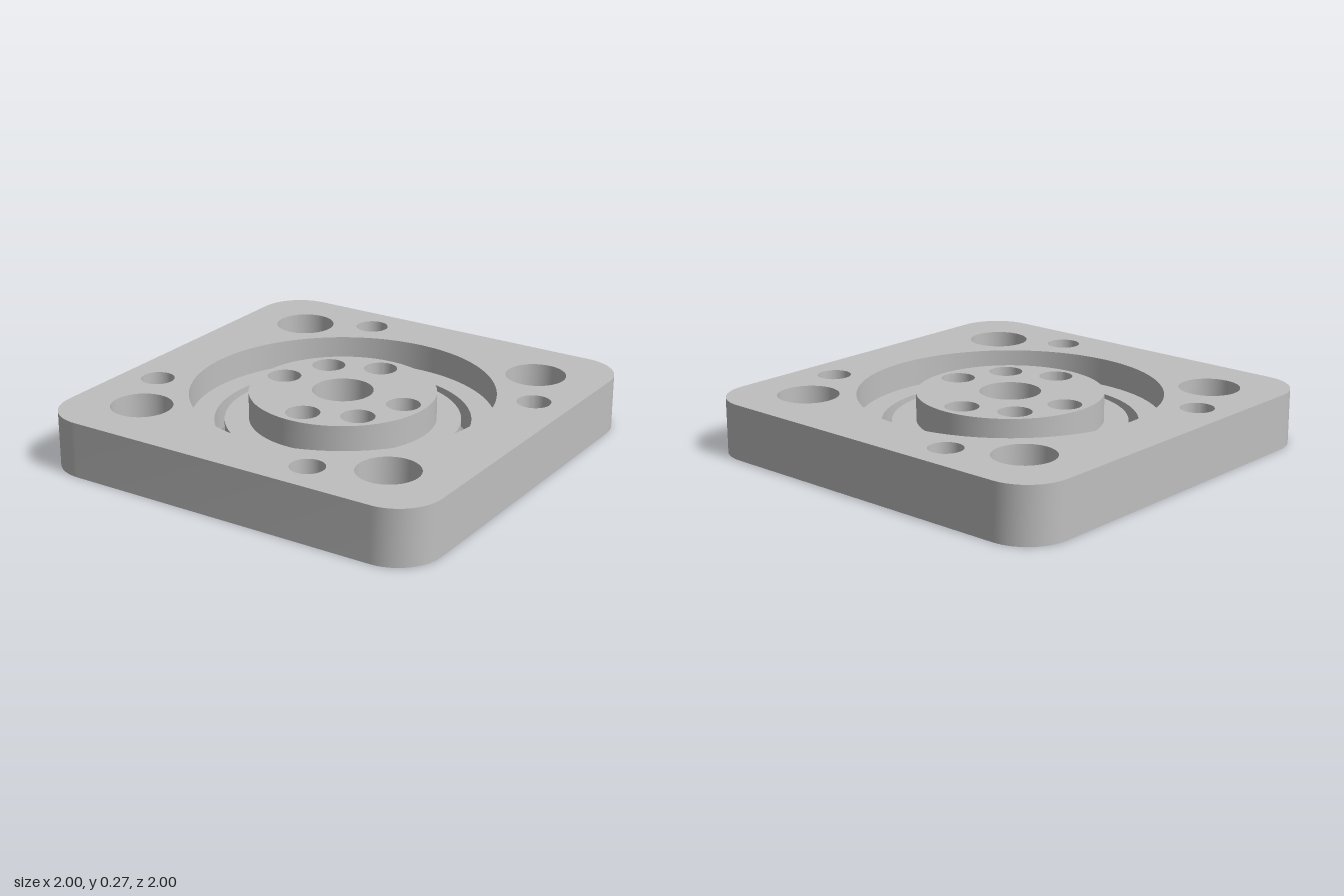
import * as THREE from 'three';
import { mergeGeometries, toCreasedNormals } from 'three/addons/utils/BufferGeometryUtils.js';

// Plan coordinates are (x, v) with v = -z; heights are y.
const H = 0.267, FLOOR = 0.134, POCKET = 0.148, SINK = 0.076;
const R_BIG = 0.145, R_SMALL = 0.08, R_SINK = 0.156, R_HEX = 0.152;
const R_RECESS = 0.72, R_SLOT_OUT = 0.605, R_SLOT_IN = 0.557, R_HUB = 0.442;
const HUB_BOLT = 0.333;

const V = (x, v) => new THREE.Vector2(x, v);

// counter-clockwise arc (a full circle omits its last point)
function arc(cx, cv, r, a0 = 0, a1 = Math.PI * 2, n = 64) {
  const full = a1 - a0 > 6.28, pts = [];
  for (let i = 0; i < (full ? n : n + 1); i++) {
    const a = a0 + (a1 - a0) * i / n;
    pts.push(V(cx + r * Math.cos(a), cv + r * Math.sin(a)));
  }
  return pts;
}
const circle = (c, r) => arc(c.x, c.y, r, 0, Math.PI * 2, r > 0.3 ? 128 : 48);
const hexagon = (c, turn) => arc(c.x, c.y, R_HEX, turn, turn + Math.PI * 2, 6);

// flat face at height y, facing up or down
function cap(outline, holes, y, up) {
  const s = new THREE.Shape(outline);
  s.holes = holes.map((h) => new THREE.Path(h));
  const g = new THREE.ShapeGeometry(s).toNonIndexed();
  g.deleteAttribute('uv');
  g.deleteAttribute('normal');
  g.rotateX(-Math.PI / 2).translate(0, y, 0);
  if (!up) {
    const p = g.attributes.position;
    for (let i = 0; i < p.count; i += 3) {
      const b = new THREE.Vector3().fromBufferAttribute(p, i + 1);
      const c = new THREE.Vector3().fromBufferAttribute(p, i + 2);
      p.setXYZ(i + 1, c.x, c.y, c.z);
      p.setXYZ(i + 2, b.x, b.y, b.z);
    }
  }
  return g;
}

// side face between two heights; inward faces line a hole
function wall(low, y0, y1, { inward = false, closed = true, high = low } = {}) {
  const pos = [], n = low.length;
  const put = (p, y) => pos.push(p.x, y, -p.y);
  for (let i = 0; i < (closed ? n : n - 1); i++) {
    let a = i, b = (i + 1) % n;
    if (inward) [a, b] = [b, a];
    put(low[a], y0); put(low[b], y0); put(high[b], y1);
    put(low[a], y0); put(high[b], y1); put(high[a], y1);
  }
  const g = new THREE.BufferGeometry();
  g.setAttribute('position', new THREE.Float32BufferAttribute(pos, 3));
  return g;
}

const bore = (c, r, y0, y1) => wall(circle(c, r), y0, y1, { inward: true });
const countersunk = (c) => [
  wall(circle(c, R_SINK), 0, SINK, { inward: true, high: circle(c, R_SMALL) }),
  bore(c, R_SMALL, SINK, H),
];

function part(name, faces, material) {
  const mesh = new THREE.Mesh(toCreasedNormals(mergeGeometries(faces), Math.PI / 6), material);
  mesh.name = name;
  return mesh;
}

// square plate with rounded corners, bolt holes and a round recess
function framePlate(material) {
  const o = V(0, 0), cr = 0.215, k = 1 - cr, q = Math.PI / 2;
  const outline = [[k, k], [-k, k], [-k, -k], [k, -k]]
    .flatMap(([x, v], i) => arc(x, v, cr, i * q, (i + 1) * q, 16));
  const big = [V(1, 1), V(-1, 1), V(-1, -1), V(1, -1)].map((p) => p.multiplyScalar(0.667));
  const nuts = [V(0.82, 0.357), V(-0.82, -0.357)];
  const sinks = [V(-0.357, 0.82), V(0.357, -0.82)];
  const hexes = nuts.map((c) => hexagon(c, Math.PI / 6));
  const bigRims = big.map((c) => circle(c, R_BIG));

  const faces = [
    wall(outline, 0, H),
    cap(outline, [...bigRims, ...[...nuts, ...sinks].map((c) => circle(c, R_SMALL)), circle(o, R_RECESS)], H, true),
    cap(outline, [...bigRims, ...hexes, ...sinks.map((c) => circle(c, R_SINK)), circle(o, R_SLOT_OUT)], 0, false),
    cap(circle(o, R_RECESS), [circle(o, R_SLOT_OUT)], FLOOR, true),
    bore(o, R_RECESS, FLOOR, H),
    bore(o, R_SLOT_OUT, 0, FLOOR),
    ...big.map((c) => bore(c, R_BIG, 0, H)),
    ...sinks.flatMap(countersunk),
  ];
  // hexagonal nut pockets
  nuts.forEach((c, i) => faces.push(
    wall(hexes[i], 0, POCKET, { inward: true }),
    cap(hexes[i], [circle(c, R_SMALL)], POCKET, false),
    bore(c, R_SMALL, POCKET, H)));
  return part('framePlate', faces, material);
}

// stepped disc with a centre bore and six bolt holes
function centreHub(material) {
  const o = V(0, 0), d = 3 * Math.PI / 4, T = Math.PI * 2;
  const polar = (a) => V(HUB_BOLT * Math.cos(a), HUB_BOLT * Math.sin(a));
  const plain = [0, 1, 2, 3].map((i) => polar(i * Math.PI / 2));
  const nut = polar(d), sink = polar(d + Math.PI);
  const hex = hexagon(nut, d + Math.PI / 6);   // corners 0 and 5 bound the outward flat

  // where the pocket sides leave the raised hub
  const cross = (a, b) => {
    let lo = 0, hi = 1;
    for (let i = 0; i < 30; i++) {
      const m = (lo + hi) / 2;
      if (a.clone().lerp(b, m).length() > R_HUB) lo = m; else hi = m;
    }
    return a.clone().lerp(b, lo);
  };
  const left = cross(hex[0], hex[1]), right = cross(hex[5], hex[4]);
  const half = Math.atan2(left.y, left.x) - d;
  const longArc = arc(0, 0, R_HUB, d + half, d - half + T, 120);
  const shortArc = arc(0, 0, R_HUB, d - half, d + half, 10);
  const rim = [...longArc, ...shortArc.slice(1, -1)];
  const small = [...plain, nut, sink].map((c) => circle(c, R_SMALL));
  const centre = circle(o, R_BIG);
  const inner = [left, hex[1], hex[2], hex[3], hex[4], right];
  const open = { closed: false };

  return part('centreHub', [
    cap(rim, [centre, ...small], H, true),
    cap(circle(o, R_SLOT_IN), [[...longArc, hex[5], hex[0]]], FLOOR, true),
    cap(circle(o, R_SLOT_IN), [centre, ...plain.map((c) => circle(c, R_SMALL)), circle(sink, R_SINK), hex], 0, false),
    wall(circle(o, R_SLOT_IN), 0, FLOOR),
    wall(longArc, FLOOR, H, open),
    wall(shortArc, POCKET, H, open),
    bore(o, R_BIG, 0, H),
    ...plain.map((c) => bore(c, R_SMALL, 0, H)),
    ...countersunk(sink),
    // nut pocket that breaks through the step
    wall(inner, 0, POCKET, { closed: false, inward: true }),
    wall([right, hex[5], hex[0], left], 0, FLOOR, { closed: false, inward: true }),
    cap([...inner, ...shortArc.slice(1, -1)], [circle(nut, R_SMALL)], POCKET, false),
    bore(nut, R_SMALL, POCKET, H),
  ], material);
}

export function createModel() {
  const grey = new THREE.MeshStandardMaterial({ color: 0xbfbfbf });
  grey.name = 'grey';
  const group = new THREE.Group();
  group.name = 'mountingPlate';
  group.add(framePlate(grey), centreHub(grey));
  return group;
}
